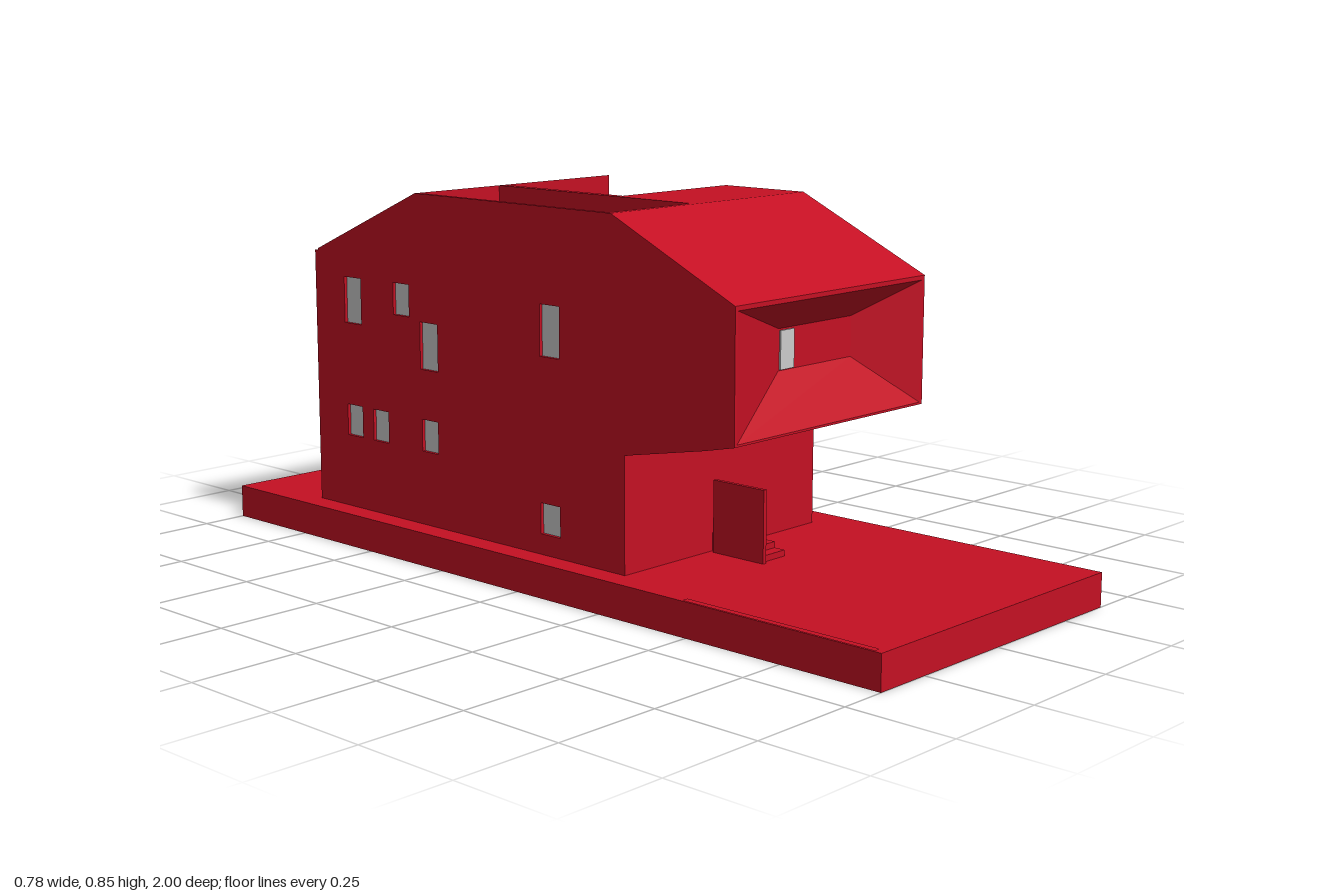
import * as THREE from 'three';

const red = new THREE.MeshStandardMaterial({ color: 0xc41023, flatShading: true });
const grey = new THREE.MeshStandardMaterial({ color: 0xcccccc, flatShading: true });

function add(parent, name, geometry, material = red) {
  const mesh = new THREE.Mesh(geometry, material);
  mesh.name = name;
  parent.add(mesh);
  return mesh;
}

// Box given by its limits on each axis
function block(parent, name, [x0, x1], [y0, y1], [z0, z1], material = red) {
  const g = new THREE.BoxGeometry(x1 - x0, y1 - y0, z1 - z0);
  g.translate((x0 + x1) / 2, (y0 + y1) / 2, (z0 + z1) / 2);
  return add(parent, name, g, material);
}

const polygon = (points) => new THREE.Shape(points.map(([u, v]) => new THREE.Vector2(u, v)));

// Rectangular holes listed as centre u, centre v, width, height
function pierce(shape, holes) {
  for (const [u, v, w, h] of holes) {
    shape.holes.push(polygon([
      [u - w / 2, v - h / 2], [u - w / 2, v + h / 2], [u + w / 2, v + h / 2], [u + w / 2, v - h / 2],
    ]));
  }
  return shape;
}

const extrude = (shape, depth) => new THREE.ExtrudeGeometry(shape, { depth, bevelEnabled: false });

// Slice of the house: a (z, y) outline running from x0 to x1
function slice(parent, name, points, x0, x1, holes = []) {
  const g = extrude(pierce(polygon(points), holes), x1 - x0);
  g.rotateY(-Math.PI / 2).translate(x1, 0, 0);
  return add(parent, name, g);
}

// Skin through rectangular rings [x0, x1, y0, y1, z], closed at the last ring
function ringSkin(rings) {
  const pos = [];
  const index = [];
  for (const [x0, x1, y0, y1, z] of rings) {
    pos.push(x0, y0, z, x1, y0, z, x1, y1, z, x0, y1, z);
  }
  for (let r = 0; r < rings.length - 1; r++) {
    for (let i = 0; i < 4; i++) {
      const a = r * 4 + i;
      const b = r * 4 + (i + 1) % 4;
      index.push(a, b, b + 4, a, b + 4, a + 4);
    }
  }
  const e = (rings.length - 1) * 4;
  index.push(e, e + 1, e + 2, e, e + 2, e + 3);
  const g = new THREE.BufferGeometry();
  g.setAttribute('position', new THREE.Float32BufferAttribute(pos, 3));
  g.setIndex(index);
  const flat = g.toNonIndexed();
  flat.computeVertexNormals();
  return flat;
}

export function createModel() {
  const model = new THREE.Group();
  model.name = 'house';

  // Ground plate with a narrow slot along its front left edge
  const plot = polygon([[-0.39, 1], [-0.39, -1], [0.385, -0.985], [0.39, 1]].map(([x, z]) => [x, -z]));
  pierce(plot, [[-0.378, -0.735, 0.012, 0.49]]);
  add(model, 'groundPlate', extrude(plot, 0.078).rotateX(-Math.PI / 2));
  block(model, 'groundUnderside', [-0.388, 0.384], [0, 0.004], [-0.984, 0.998]);

  // House outline from the rear foot round to the roof; a cut may interrupt the flat roof
  const X0 = -0.333, X1 = 0.302, FRONT = 0.5, BACK = -0.742;
  const outline = (cut = []) => [
    [BACK, 0.075], [0.275, 0.075], [0.275, 0.34], [FRONT, 0.384], [FRONT, 0.727],
    [0.235, 0.85], ...cut, [-0.385, 0.85], [BACK, 0.694],
  ];
  const body = new THREE.Group();
  body.name = 'houseBody';
  model.add(body);

  // Left wall with window openings: z, y, width, height
  const sideWindows = [
    [-0.615, 0.58, 0.06, 0.11], [-0.345, 0.5, 0.06, 0.11], [-0.44, 0.6, 0.055, 0.075],
    [0.05, 0.58, 0.06, 0.115], [-0.615, 0.29, 0.055, 0.075], [-0.52, 0.29, 0.055, 0.075],
    [-0.345, 0.29, 0.055, 0.075], [0.05, 0.16, 0.06, 0.07],
  ];
  slice(body, 'leftWall', outline(), X0, -0.32, sideWindows);
  for (const [z, y, w, h] of sideWindows) {
    block(body, 'sideWindow', [-0.325, -0.318], [y - h / 2, y + h / 2], [z - w / 2, z + w / 2], grey);
  }

  // Roof terrace, dividing wall and the open courtyard notch
  slice(body, 'terraceWing',
    outline([[0.22, 0.85], [0.22, 0.71], [-0.385, 0.71]]), -0.32, -0.07);
  slice(body, 'dividingWall', outline(), -0.07, -0.05);
  slice(body, 'courtyardWing',
    outline([[0, 0.85], [-0.09, 0.455], [-0.385, 0.455]]), -0.05, X1);

  // Terrace fittings
  block(body, 'terraceStep', [-0.24, -0.07], [0.7, 0.72], [-0.385, -0.09]);
  block(body, 'skylight', [-0.235, -0.16], [0.7, 0.724], [-0.3, -0.225], grey);
  block(body, 'terraceGlass', [-0.32, -0.07], [0.71, 0.845], [0.214, 0.222], grey);

  // Courtyard glazing
  block(body, 'courtyardFloor', [-0.05, 0.29], [0.45, 0.458], [-0.385, -0.09], grey);
  block(body, 'courtyardSideWindow', [-0.055, -0.047], [0.53, 0.64], [-0.315, -0.15], grey);
  block(body, 'courtyardRearWindow', [0, 0.2], [0.51, 0.63], [-0.39, -0.382], grey);
  const slope = Math.atan2(0.09, 0.395);
  const slanted = add(body, 'courtyardSlantedWindow', new THREE.BoxGeometry(0.24, 0.175, 0.006), grey);
  slanted.position.set(0.07, 0.543, -0.07);
  slanted.rotation.x = slope;

  // Rear wall with four windows
  const rearWindows = [];
  for (const x of [-0.112, 0.07]) for (const y of [0.265, 0.57]) rearWindows.push([x, y, 0.062, 0.11]);
  const rear = pierce(polygon([[X0, 0.075], [X1, 0.075], [X1, 0.69], [X0, 0.69]]), rearWindows);
  add(body, 'rearWall', extrude(rear, 0.01).translate(0, 0, -0.752));
  for (const [x, y, w, h] of rearWindows) {
    block(body, 'rearWindow', [x - w / 2, x + w / 2], [y - h / 2, y + h / 2], [-0.745, -0.738], grey);
  }

  // Overhanging front with a funnel-shaped window recess
  add(body, 'frontFunnel', ringSkin([
    [X0, X1, 0.384, 0.727, FRONT],
    [X0, X1, 0.402, 0.69, 0.58],
    [-0.325, 0.293, 0.407, 0.68, 0.58],
    [-0.105, 0.14, 0.52, 0.61, FRONT + 0.003],
  ]));
  block(body, 'frontWindow', [-0.102, -0.057], [0.522, 0.606], [0.498, 0.507], grey);

  // Entrance steps and screen wall
  for (let i = 0; i < 3; i++) {
    block(model, 'entranceStep', [-0.05, 0.025], [0.07, 0.092 + i * 0.014], [0.275, 0.42 - i * 0.028]);
  }
  block(model, 'entranceScreen', [-0.06, -0.05], [0.07, 0.243], [0.285, 0.43]);

  return model;
}
